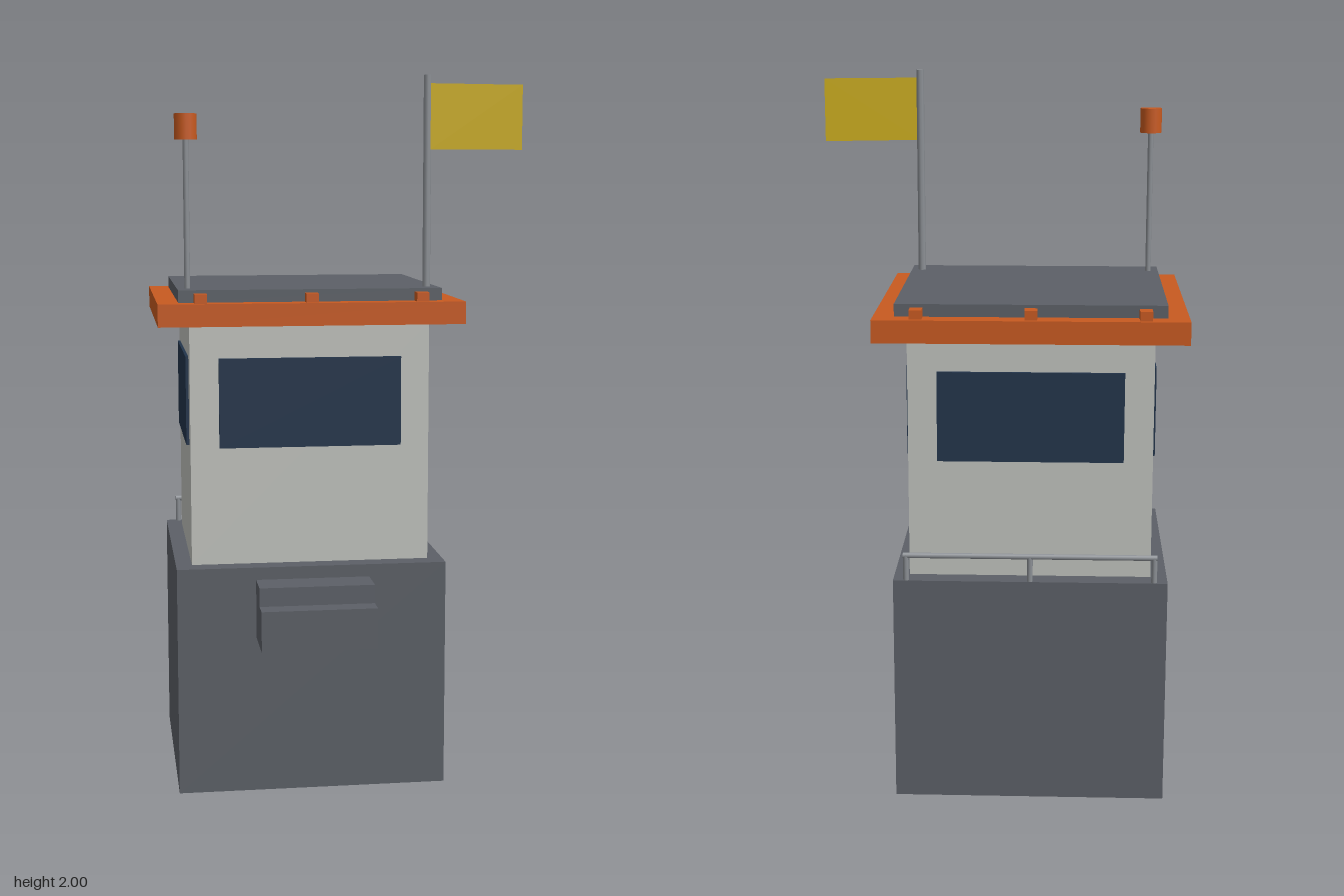
import * as THREE from 'three';

const mat = (name, color, extra = {}) => {
  const m = new THREE.MeshStandardMaterial({ color, ...extra });
  m.name = name;
  return m;
};

export function createModel() {
  const model = new THREE.Group();
  model.name = 'watchCabin';

  const darkGrey = mat('darkGrey', 0x5c6067);
  const paleGrey = mat('paleGrey', 0xc0c2bd);
  const orange = mat('orange', 0xc85a20);
  const glass = mat('navyGlass', 0x22344b);
  const metal = mat('metal', 0x8c9095);
  const yellow = mat('yellow', 0xc4a60c, { side: THREE.DoubleSide });

  const add = (name, geometry, material) => {
    const mesh = new THREE.Mesh(geometry, material);
    mesh.name = name;
    model.add(mesh);
    return mesh;
  };
  // Box given by its limits on each axis
  const box = (name, material, [x0, x1], [y0, y1], [z0, z1]) =>
    add(name, new THREE.BoxGeometry(x1 - x0, y1 - y0, z1 - z0), material)
      .position.set((x0 + x1) / 2, (y0 + y1) / 2, (z0 + z1) / 2);
  // Upright round bar
  const post = (name, material, r, x, z, y0, y1, sides = 8) =>
    add(name, new THREE.CylinderGeometry(r, r, y1 - y0, sides), material)
      .position.set(x, (y0 + y1) / 2, z);

  // Base and cabin
  box('base', darkGrey, [-0.475, 0.282], [0, 0.645], [-0.41, 0.285]);
  box('cabin', paleGrey, [-0.43, 0.24], [0.645, 1.32], [-0.355, 0.229]);

  // Stepped ledge on the front of the base
  box('lowerStep', darkGrey, [-0.255, 0.064], [0.445, 0.558], [0.285, 0.442]);
  box('upperStep', darkGrey, [-0.255, 0.064], [0.558, 0.61], [0.285, 0.385]);

  // Windows, one on each wall
  const wy = [0.975, 1.225];
  box('frontWindow', glass, [-0.35, 0.16], wy, [0.229, 0.237]);
  box('backWindow', glass, [-0.35, 0.16], wy, [-0.363, -0.355]);
  box('leftWindow', glass, [0.24, 0.248], wy, [-0.289, 0.165]);
  box('rightWindow', glass, [-0.438, -0.43], wy, [-0.289, 0.165]);

  // Roof with raised deck and small edge blocks
  box('roof', orange, [-0.518, 0.327], [1.32, 1.382], [-0.444, 0.312]);
  box('roofDeck', darkGrey, [-0.46, 0.27], [1.382, 1.416], [-0.389, 0.256]);
  for (const x of [-0.401, -0.096, 0.21]) {
    box('frontRoofBlock', orange, [x - 0.017, x + 0.017], [1.382, 1.407], [0.256, 0.297]);
    box('backRoofBlock', orange, [x - 0.017, x + 0.017], [1.382, 1.407], [-0.431, -0.389]);
  }

  // Beacon on a thin mast
  post('beaconMast', metal, 0.008, -0.431, 0.18, 1.38, 1.825);
  post('beacon', orange, 0.031, -0.431, 0.18, 1.822, 1.892, 16);

  // Flag on its pole
  post('flagPole', metal, 0.011, 0.24, 0.18, 1.3, 2);
  const flag = add('flag', new THREE.PlaneGeometry(0.277, 0.18), yellow);
  flag.position.set(0.38, 1.886, 0.181);
  flag.rotation.y = 0.19;

  // Railing along the back edge of the base
  const railZ = -0.402;
  for (const x of [-0.438, -0.096, 0.246])
    post('railPost', metal, 0.008, x, railZ, 0.645, 0.718);
  const rail = add('rail', new THREE.CylinderGeometry(0.008, 0.008, 0.7, 8), metal);
  rail.rotation.z = Math.PI / 2;
  rail.position.set(-0.096, 0.716, railZ);

  return model;
}
